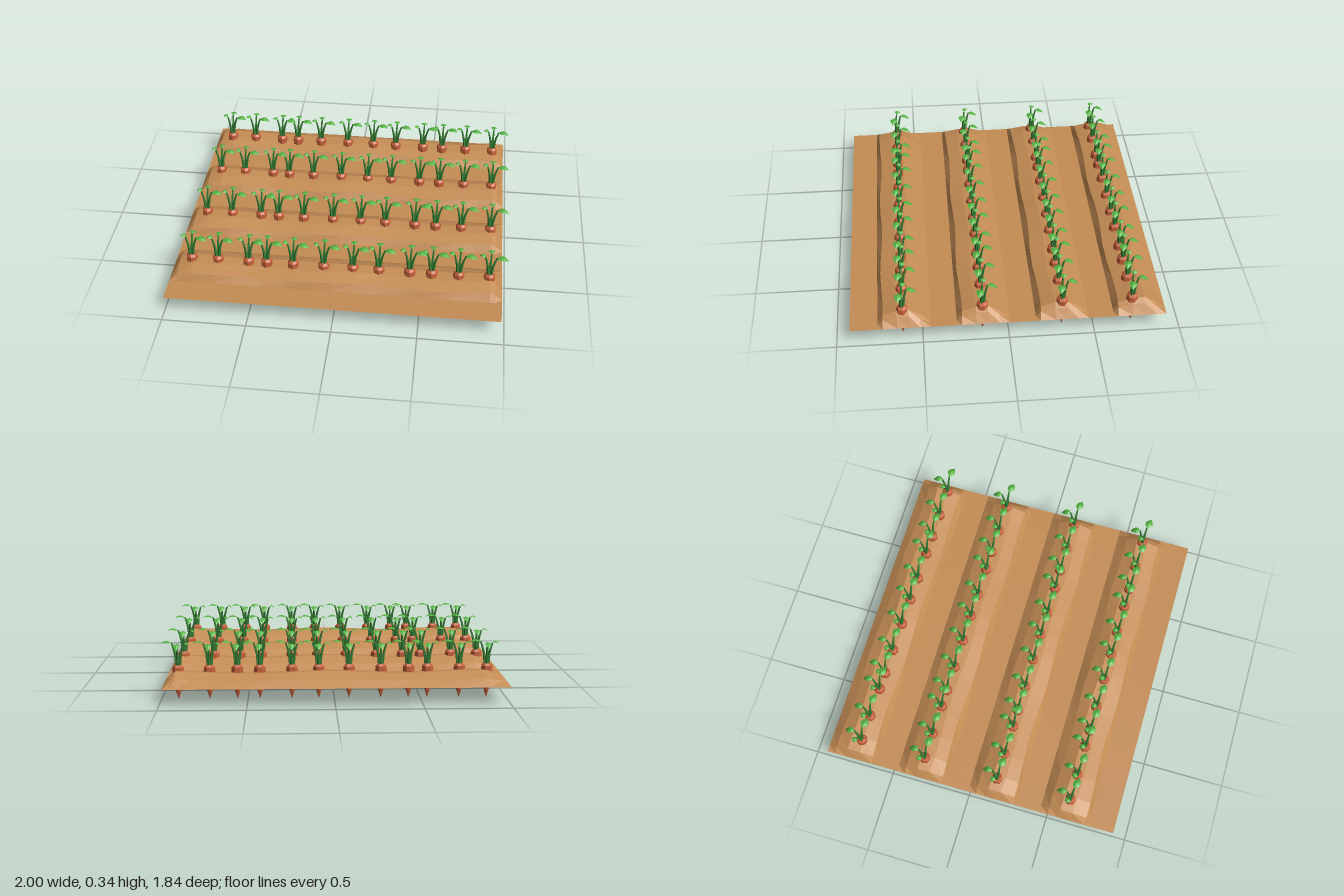
import * as THREE from 'three';
import { mergeGeometries } from 'three/addons/utils/BufferGeometryUtils.js';

const GROUND = 0.105;
const material = (color) => new THREE.MeshStandardMaterial({ color, flatShading: true, side: THREE.DoubleSide });

// Soil sheet: four ridges separated by flat furrows, ramping down at both ends
function soilGeometry() {
  const profile = [[0, 0], [0.057, 0.038], [0.127, 0.068], [0.2, 0.062], [0.28, 0.04], [0.307, 0]];
  const section = [-0.92, -0.465, -0.005, 0.453].flatMap((back) => profile.map(([z, h]) => [back + z, h]));
  section.push([0.92, 0]);

  const stations = [[-1, 0], [-0.96, 0.68], [-0.87, 0.95]];
  for (let i = 0; i < 12; i++) stations.push([-0.73 + i * 0.14, 1]);
  stations.push([0.91, 1.05], [0.94, 0.75], [0.98, 0]);

  const positions = [], index = [], n = stations.length;
  section.forEach(([z, h], i) => {
    stations.forEach(([x, k]) => {
      const lift = 1 + 0.1 * Math.sin(x * 7 + 1.2);
      const shift = h > 0 ? 0.007 * Math.sin(x * 9 + i) : 0;
      positions.push(x, GROUND + h * k * lift, z + shift);
    });
  });
  for (let i = 0; i < section.length - 1; i++) {
    for (let j = 0; j < n - 1; j++) {
      const a = i * n + j, b = a + n;
      index.push(a, b, a + 1, a + 1, b, b + 1);
    }
  }
  const g = new THREE.BufferGeometry();
  g.setAttribute('position', new THREE.Float32BufferAttribute(positions, 3));
  g.setIndex(index);
  g.computeVertexNormals();
  return g;
}

// Tapered root with a rounded crown
function rootGeometry() {
  const points = [[0, 0.004], [0.015, 0.05], [0.027, 0.105], [0.035, 0.165], [0.033, 0.195], [0.02, 0.208], [0, 0.205]];
  return new THREE.LatheGeometry(points.map(([r, y]) => new THREE.Vector2(r, y)), 7);
}

// Each stalk: base, upper end, leaf tip, leaf half width
const stalks = [
  [[0.008, 0.2, 0.004], [0.036, 0.333, 0.008], [0.104, 0.325, 0.024], 0.024],
  [[0, 0.2, -0.008], [0.004, 0.333, -0.03], [0.002, 0.305, -0.09], 0.02],
  [[-0.008, 0.2, 0.004], [-0.03, 0.325, -0.004], [-0.064, 0.322, -0.018], 0.018],
].map(([a, b, c, w]) => [...[a, b, c].map((p) => new THREE.Vector3(...p)), w]);

// Curved stalk, thinner towards the leaf
function stalkGeometry([base, end]) {
  const mid = base.clone().lerp(end, 0.55);
  mid.x -= (end.x - base.x) * 0.2;
  mid.z -= (end.z - base.z) * 0.2;
  const curve = new THREE.CatmullRomCurve3([base, mid, end]);
  const g = new THREE.TubeGeometry(curve, 4, 0.01, 5);
  const p = g.attributes.position, v = new THREE.Vector3();
  for (let i = 0; i < p.count; i++) {
    const t = Math.floor(i / 6) / 4;
    const c = curve.getPointAt(t);
    v.fromBufferAttribute(p, i).sub(c).multiplyScalar(1 - 0.5 * t).add(c);
    p.setXYZ(i, v.x, v.y, v.z);
  }
  return g;
}

// Pointed leaf, arched along its length and folded at the midrib
function leafGeometry([, end, tip, halfWidth]) {
  const g = new THREE.PlaneGeometry(1, 2, 5, 2);
  const side = new THREE.Vector3(-(tip.z - end.z), 0, tip.x - end.x).normalize();
  const p = g.attributes.position, v = new THREE.Vector3();
  for (let i = 0; i < p.count; i++) {
    const t = p.getX(i) + 0.5, s = p.getY(i);
    const w = halfWidth * Math.sin(Math.PI * Math.pow(t, 0.8));
    v.lerpVectors(end, tip, t).addScaledVector(side, s * w);
    v.y += 0.016 * Math.sin(Math.PI * t) - 0.3 * w * Math.abs(s);
    p.setXYZ(i, v.x, v.y, v.z);
  }
  g.computeVertexNormals();
  return g;
}

export function createModel() {
  const model = new THREE.Group();
  model.name = 'carrotField';

  const soil = new THREE.Mesh(soilGeometry(), material(0xc48c54));
  soil.name = 'soil';
  model.add(soil);

  const parts = [
    ['root', rootGeometry(), material(0xc4603a)],
    ['stalks', mergeGeometries(stalks.map(stalkGeometry)), material(0x357f35)],
    ['leaves', mergeGeometries(stalks.map(leafGeometry)), material(0x56b443)],
  ];

  // Same uneven planting along every ridge
  const plantX = [-0.885, -0.725, -0.54, -0.43, -0.27, -0.085, 0.09, 0.245, 0.43, 0.56, 0.72, 0.9];
  for (const z of [-0.725, -0.315, 0.15, 0.615]) {
    const row = new THREE.Group();
    row.name = 'plantRow';
    row.position.z = z;
    for (const x of plantX) {
      const plant = new THREE.Group();
      plant.name = 'carrotPlant';
      plant.position.x = x;
      for (const [name, geometry, mat] of parts) {
        const mesh = new THREE.Mesh(geometry, mat);
        mesh.name = name;
        plant.add(mesh);
      }
      row.add(plant);
    }
    model.add(row);
  }
  return model;
}
